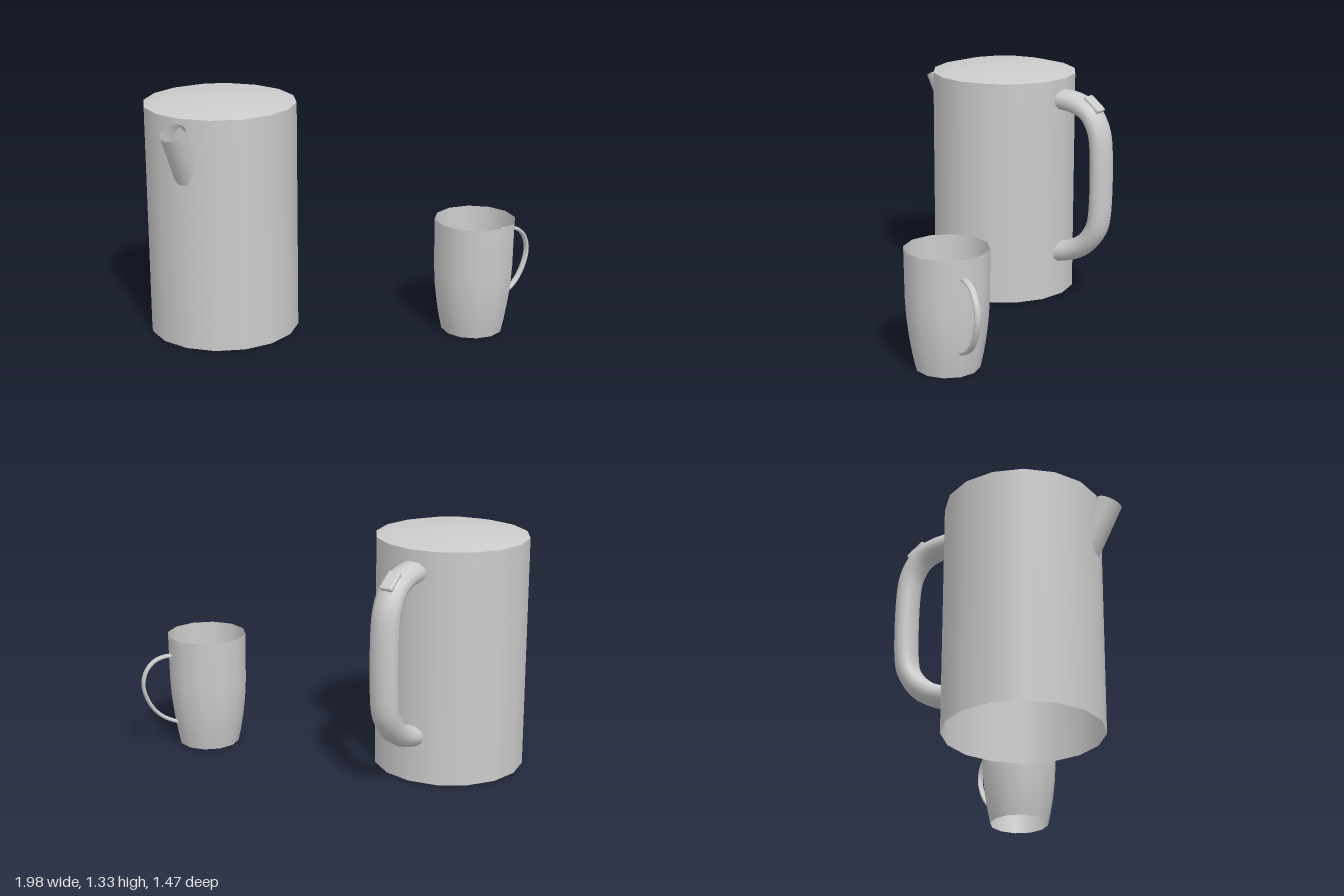
import * as THREE from 'three';
import { RoundedBoxGeometry } from 'three/addons/geometries/RoundedBoxGeometry.js';

const material = new THREE.MeshStandardMaterial({ color: 0xcccccc, side: THREE.DoubleSide });

function addMesh(parent, name, geometry) {
  const mesh = new THREE.Mesh(geometry, material);
  mesh.name = name;
  parent.add(mesh);
  return mesh;
}

// Profile points are [radius, height], listed from bottom to top
function lathe(profile, sides) {
  return new THREE.LatheGeometry(profile.map(([r, y]) => new THREE.Vector2(r, y)), sides);
}

// Tube through [x, y] points, widened across z to an oval section
function handleGeometry(points, thickness, width, segments, sides) {
  const curve = new THREE.CatmullRomCurve3(points.map(([x, y]) => new THREE.Vector3(x, y, 0)), false, 'centripetal');
  const geometry = new THREE.TubeGeometry(curve, segments, thickness, sides);
  return geometry.scale(1, 1, width / thickness);
}

function createPot() {
  const pot = new THREE.Group();
  pot.name = 'pot';

  addMesh(pot, 'potBody', lathe([[0.415, 0], [0.415, 1.28]], 16));
  addMesh(pot, 'potLid', lathe([[0.415, 1.28], [0.295, 1.31], [0, 1.33]], 16));

  // Large handle on the +x side
  addMesh(pot, 'potHandle', handleGeometry([
    [0.39, 1.16], [0.49, 1.15], [0.58, 1.11], [0.635, 1.03], [0.658, 0.94],
    [0.658, 0.5], [0.635, 0.42], [0.57, 0.335], [0.48, 0.28], [0.39, 0.255],
  ], 0.06, 0.08, 40, 12));

  // Thumb button lying on the upper bend of the handle
  const button = addMesh(pot, 'thumbButton', new RoundedBoxGeometry(0.12, 0.03, 0.075, 2, 0.012));
  button.position.set(0.612, 1.155, 0);
  button.rotation.z = -0.68;

  // Open spout leaning out of the wall on the -x side
  const tilt = 0.46, length = 0.38;
  const spout = addMesh(pot, 'spout', new THREE.CylinderGeometry(0.07, 0.07, length, 16, 1, true));
  spout.rotation.z = tilt;
  spout.position.set(-0.485 + Math.sin(tilt) * length / 2, 1.22 - Math.cos(tilt) * length / 2, 0);
  return pot;
}

function createMug() {
  const mug = new THREE.Group();
  mug.name = 'mug';

  // Open cup wall, tapering towards the foot
  addMesh(mug, 'mugBody', lathe([
    [0.17, 0], [0.186, 0.075], [0.2, 0.16], [0.212, 0.26], [0.218, 0.36], [0.222, 0.64],
  ], 12));

  // Thin ear-shaped handle
  addMesh(mug, 'mugHandle', handleGeometry([
    [0.2, 0.535], [0.26, 0.535], [0.32, 0.513], [0.365, 0.463], [0.384, 0.39],
    [0.368, 0.31], [0.32, 0.225], [0.26, 0.172], [0.18, 0.133],
  ], 0.011, 0.019, 24, 8));
  return mug;
}

export function createModel() {
  const model = new THREE.Group();
  model.name = 'potAndMug';

  const pot = createPot();
  pot.position.set(-0.505, 0, -0.325);
  pot.rotation.y = Math.PI / 6;

  const mug = createMug();
  mug.position.set(0.6, 0, 0.512);

  model.add(pot, mug);
  return model;
}
